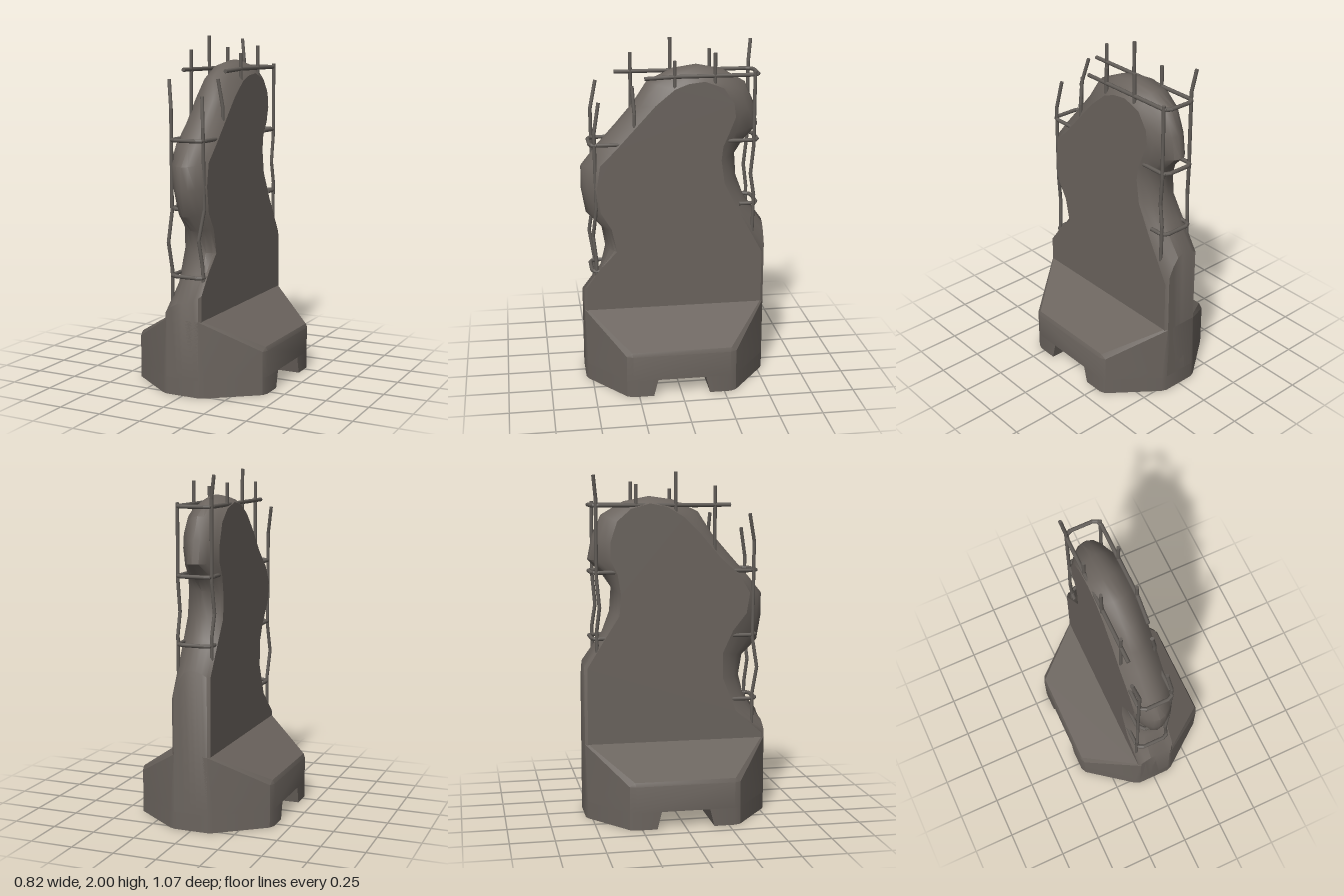
import * as THREE from 'three';
import { mergeGeometries, toCreasedNormals } from 'three/addons/utils/BufferGeometryUtils.js';
import { ConvexGeometry } from 'three/addons/geometries/ConvexGeometry.js';

const concrete = new THREE.MeshStandardMaterial({ color: 0x6b645e });
concrete.name = 'concrete';
const steel = new THREE.MeshStandardMaterial({ color: 0x625d58 });
steel.name = 'rebar steel';

const HALF = 0.115; // half thickness of the wall

// Broken outline, front foot over the top to the back foot: [z, y] at the -x face, the middle, the +x face
const outline = [
  [0.535, 0.1, 0.535, 0.1, 0.535, 0.1],
  [0.535, 0.46, 0.535, 0.53, 0.535, 0.58],
  [0.36, 0.6, 0.43, 0.68, 0.43, 0.7],
  [0.28, 0.8, 0.4, 0.8, 0.34, 0.79],
  [0.28, 0.95, 0.42, 0.92, 0.37, 0.93],
  [0.34, 1.08, 0.51, 1.01, 0.43, 1.03],
  [0.42, 1.18, 0.535, 1.155, 0.45, 1.18],
  [0.44, 1.3, 0.535, 1.29, 0.43, 1.31],
  [0.38, 1.4, 0.45, 1.395, 0.34, 1.4],
  [0.26, 1.51, 0.33, 1.53, 0.22, 1.53],
  [0.15, 1.64, 0.235, 1.64, 0.11, 1.65],
  [0.05, 1.74, 0.15, 1.77, 0, 1.74],
  [-0.05, 1.8, 0, 1.84, -0.08, 1.77],
  [-0.15, 1.82, -0.14, 1.86, -0.17, 1.78],
  [-0.26, 1.79, -0.29, 1.83, -0.28, 1.74],
  [-0.34, 1.72, -0.42, 1.755, -0.34, 1.65],
  [-0.38, 1.6, -0.475, 1.63, -0.35, 1.57],
  [-0.38, 1.5, -0.5, 1.5, -0.31, 1.47],
  [-0.34, 1.42, -0.42, 1.42, -0.28, 1.4],
  [-0.32, 1.3, -0.365, 1.34, -0.27, 1.32],
  [-0.33, 1.18, -0.375, 1.2, -0.29, 1.18],
  [-0.42, 1.04, -0.42, 1.08, -0.37, 1.02],
  [-0.535, 0.88, -0.535, 0.92, -0.535, 0.75],
  [-0.535, 0.1, -0.535, 0.1, -0.535, 0.1],
];

// Outline at one x: bulges from the side face to the middle, with a small bevel on the end corners
function section(x) {
  const k = x < 0 ? 0 : 4;
  const w = 1 - (x / HALF) ** 2;
  return outline.map((p) => {
    let z = THREE.MathUtils.lerp(p[k], p[2], w);
    const y = THREE.MathUtils.lerp(p[k + 1], p[3], w);
    if (Math.abs(z) > 0.53 && Math.abs(x) === HALF) z *= 0.97;
    return new THREE.Vector2(z, y);
  });
}

function geometryFrom(points, index) {
  const g = new THREE.BufferGeometry();
  g.setAttribute('position', new THREE.Float32BufferAttribute(points, 3));
  g.setIndex(index);
  g.computeVertexNormals();
  return g;
}

// Rough broken edge running round the wall
function brokenEdge() {
  const xs = [-HALF, -0.1, -0.07, -0.035, 0, 0.035, 0.07, 0.1, HALF];
  const n = outline.length;
  const points = [], index = [];
  xs.forEach((x) => section(x).forEach((p) => points.push(x, p.y, p.x)));
  for (let i = 0; i < xs.length - 1; i++) {
    for (let j = 0; j < n - 1; j++) {
      const a = i * n + j, b = a + n;
      index.push(a, b, a + 1, b, b + 1, a + 1);
    }
  }
  return toCreasedNormals(geometryFrom(points, index), 0.75);
}

// Flat side face of the wall
function sideFace(x) {
  const pts = section(x);
  const points = [], index = [];
  pts.forEach((p) => points.push(x, p.y, p.x));
  THREE.ShapeUtils.triangulateShape(pts, []).forEach(([a, b, c]) => {
    const cross = pts[b].clone().sub(pts[a]).cross(pts[c].clone().sub(pts[a]));
    if (cross * x < 0) index.push(a, b, c);
    else index.push(a, c, b);
  });
  return geometryFrom(points, index);
}

// Convex block from points, mirrored in x (and in z when asked)
function hull(list, mirrorZ) {
  const pts = [];
  for (const [x, y, z] of list) {
    for (const sx of [1, -1]) {
      for (const sz of mirrorZ ? [1, -1] : [1]) pts.push(new THREE.Vector3(x * sx, y, z * sz));
    }
  }
  return toCreasedNormals(new ConvexGeometry(pts), 0.5);
}

// Eight-sided plan of the base, one quarter
const plan = [[0.41, 0.285], [0.395, 0.32], [0.13, 0.523], [0.1, 0.535]];

// Straight bar through a list of points
function bar(points, r = 0.0105) {
  const up = new THREE.Vector3(0, 1, 0);
  const parts = [];
  for (let i = 0; i < points.length - 1; i++) {
    const a = new THREE.Vector3(...points[i]), b = new THREE.Vector3(...points[i + 1]);
    const d = b.clone().sub(a);
    const g = new THREE.CylinderGeometry(r, r, d.length() + (i < points.length - 2 ? 0.006 : 0), 8);
    g.applyQuaternion(new THREE.Quaternion().setFromUnitVectors(up, d.normalize()));
    g.translate(...a.add(b).multiplyScalar(0.5).toArray());
    parts.push(g);
  }
  return mergeGeometries(parts);
}

// Horizontal stirrup bent round one end; zEnd is the bend, zL and zR the free ends
function stirrup(y, zEnd, zL, zR) {
  const s = Math.sign(zEnd);
  return [
    [-0.1, y, zL], [-0.1, y, zEnd - s * 0.04], [-0.09, y, zEnd - s * 0.012], [-0.065, y, zEnd],
    [0.065, y, zEnd], [0.09, y, zEnd - s * 0.012], [0.1, y, zEnd - s * 0.04], [0.1, y, zR],
  ];
}

export function createModel() {
  const model = new THREE.Group();
  const add = (name, geometry, material) => {
    const mesh = new THREE.Mesh(geometry, material);
    mesh.name = name;
    model.add(mesh);
  };

  // Wall
  add('brokenEdge', brokenEdge(), concrete);
  add('leftWallFace', sideFace(HALF), concrete);
  add('rightWallFace', sideFace(-HALF), concrete);

  // Base with sloped shoulders
  const upper = [[0.41, 0.25, 0.285], [0.4, 0.273, 0.29], [HALF, 0.435, 0.515], [0.1, 0.435, 0.535]];
  plan.forEach(([x, z]) => upper.push([x, 0.1, z]));
  upper.push([0.395, 0.25, 0.32]);
  add('baseShoulders', hull(upper, true), concrete);

  // Two feet, leaving a slot between them
  for (const s of [1, -1]) {
    const foot = [];
    for (const y of [0, 0.1]) plan.forEach(([x, z]) => foot.push([x, y, z * s]));
    foot.push([0.41, 0, 0.165 * s], [0.41, 0.075, 0.158 * s], [0.41, 0.1, 0.14 * s]);
    add(s > 0 ? 'frontFoot' : 'backFoot', hull(foot, false), concrete);
  }

  // Upright bars
  const uprights = [
    [[-0.1, 0.42, 0.46], [-0.1, 0.7, 0.46], [-0.11, 0.86, 0.485], [-0.1, 1.03, 0.46], [-0.1, 1.6, 0.465], [-0.13, 1.76, 0.43]],
    [[0.1, 0.6, 0.46], [0.09, 0.74, 0.46], [0.075, 0.88, 0.475], [0.1, 1.05, 0.455], [0.095, 1.5, 0.46], [0.075, 1.67, 0.43]],
    [[-0.1, 1.45, 0.23], [-0.1, 1.92, 0.23]],
    [[0.1, 1.45, 0.23], [0.1, 1.6, 0.23], [0.075, 1.76, 0.24]],
    [[-0.1, 1.6, 0], [-0.105, 2, 0]],
    [[0.1, 1.6, 0], [0.1, 1.9, 0]],
    [[-0.1, 1.6, -0.23], [-0.1, 1.93, -0.23]],
    [[0.1, 1.6, -0.23], [0.1, 1.94, -0.23]],
    [[-0.1, 0.85, -0.46], [-0.1, 1.1, -0.46], [-0.11, 1.23, -0.445], [-0.1, 1.4, -0.46], [-0.1, 1.85, -0.46], [-0.12, 1.98, -0.475]],
    [[0.1, 0.85, -0.46], [0.1, 1.1, -0.465], [0.095, 1.23, -0.445], [0.1, 1.4, -0.46], [0.1, 1.83, -0.46]],
  ];
  uprights.forEach((p, i) => add('uprightBar' + (i + 1), bar(p), steel));

  // Stirrups
  const top = stirrup(1.81, -0.485, 0.32, 0);
  top.push([0.085, 1.8, 0.17]);
  const hoops = [
    top,
    stirrup(1.43, 0.485, 0.28, 0.28),
    stirrup(1.43, -0.485, -0.31, -0.31),
    stirrup(1.05, -0.485, -0.38, -0.38),
    stirrup(0.67, 0.485, 0.34, 0.4),
    [[-0.1, 1.05, 0.34], [-0.1, 1.05, 0.445], [-0.065, 1.05, 0.485], [0, 1.05, 0.485]],
  ];
  hoops.forEach((p, i) => add('stirrup' + (i + 1), bar(p, 0.0115), steel));

  return model;
}
